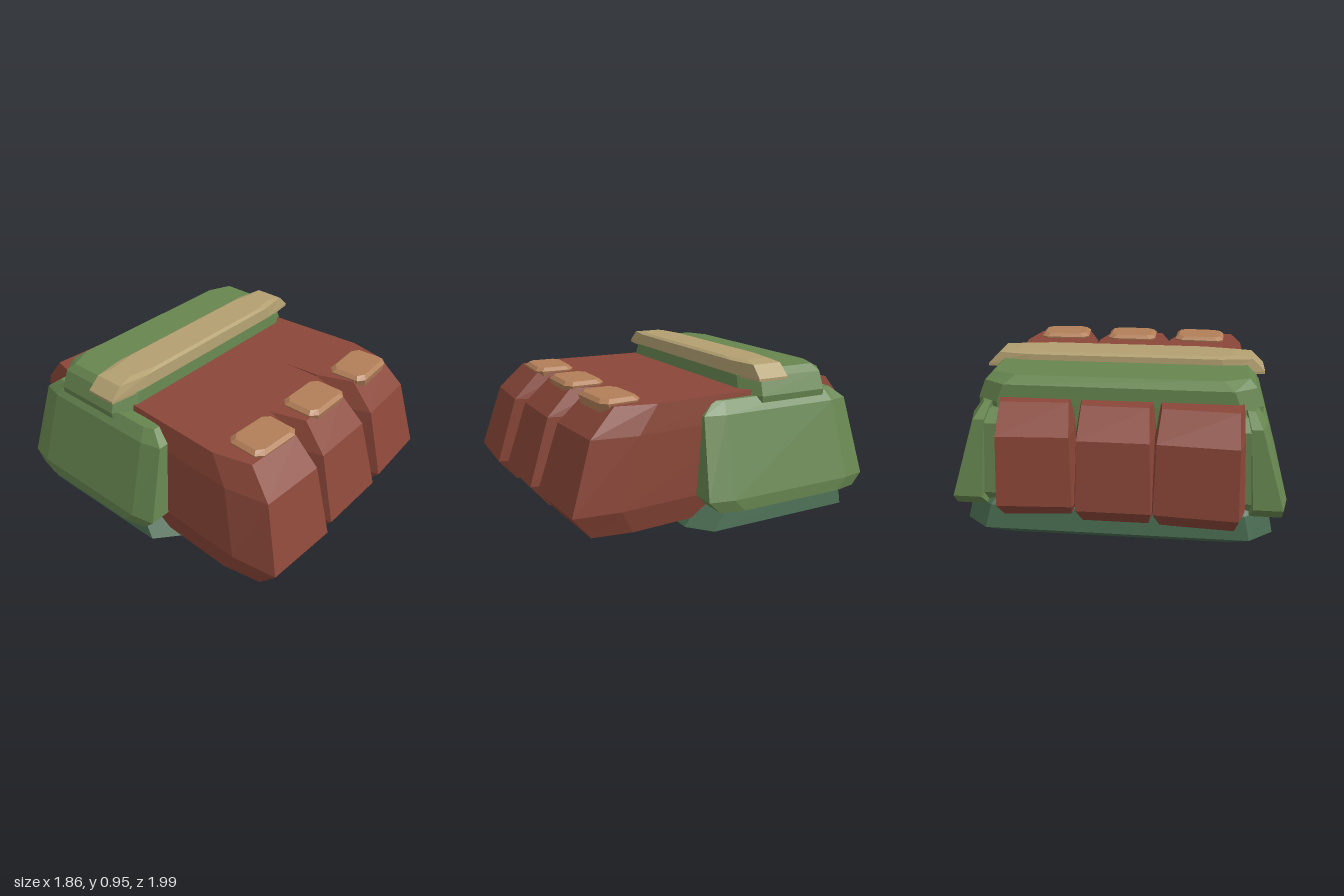
import * as THREE from 'three';

const material = (name, color) => {
  const m = new THREE.MeshStandardMaterial({ color });
  m.name = name;
  return m;
};

// Octagon outline in plan; c = [cut at low x, cut at high x, cut along z]
function oct(x0, x1, z0, z1, [a, b, cz]) {
  return [[x1, z1 - cz], [x1, z0 + cz], [x1 - b, z0], [x0 + a, z0],
    [x0, z0 + cz], [x0, z1 - cz], [x0 + a, z1], [x1 - b, z1]];
}

// Faceted solid through stacked outlines: levels are [y, outline]
function loft(levels) {
  const pos = [];
  const rings = levels.map(([y, pts]) => pts.map(([x, z]) => [x, y, z]));
  const tri = (a, b, c) => pos.push(...a, ...b, ...c);
  const n = rings[0].length;
  for (let k = 0; k < rings.length - 1; k++) {
    const lo = rings[k], hi = rings[k + 1];
    for (let i = 0; i < n; i++) {
      const j = (i + 1) % n;
      tri(lo[i], lo[j], hi[j]);
      tri(lo[i], hi[j], hi[i]);
    }
  }
  const bottom = rings[0], top = rings[rings.length - 1];
  for (let i = 1; i < n - 1; i++) {
    tri(top[0], top[i], top[i + 1]);
    tri(bottom[0], bottom[i + 1], bottom[i]);
  }
  const g = new THREE.BufferGeometry();
  g.setAttribute('position', new THREE.Float32BufferAttribute(pos, 3));
  g.computeVertexNormals();
  return g;
}

// Block pointing along +z; rows are [y, half width, front half width, front offset, cut depth]
function toeGeometry(rows, length, back, lean, widen = 1) {
  const y0 = rows[0][0], span = rows[rows.length - 1][0] - y0;
  return loft(rows.map(([y, h, f, dz, cz]) => {
    const s = lean * (y - y0) / span, z = length + dz;
    h *= widen;
    f *= widen;
    return [y, [[s + h, z - cz], [s + h, back], [s - h, back],
      [s - h, z - cz], [s - f, z], [s + f, z]]];
  }));
}

export function createModel() {
  const root = new THREE.Group();
  root.name = 'armouredFoot';
  const red = material('brick red', 0x8a4638);
  const green = material('leaf green', 0x66854f);
  const dark = material('dark green', 0x46684e);
  const tan = material('sand', 0xb3a071);
  const copper = material('copper', 0xb27f58);

  const add = (name, geometry, mat) => {
    const mesh = new THREE.Mesh(geometry, mat);
    mesh.name = name;
    root.add(mesh);
    return mesh;
  };

  // Sole
  add('sole', loft([
    [0, oct(-0.73, 0.73, -0.77, 0.16, [0.12, 0.12, 0.1])],
    [0.07, oct(-0.86, 0.86, -0.86, 0.25, [0.13, 0.13, 0.11])],
    [0.2, oct(-0.83, 0.83, -0.83, 0.14, [0.13, 0.13, 0.11])],
    [0.26, oct(-0.78, 0.78, -0.78, 0.1, [0.13, 0.13, 0.11])],
  ]), dark);

  // Ankle body
  const cut = [0.12, 0.12, 0.08];
  add('ankleBody', loft([
    [0.2, oct(-0.72, 0.72, -0.72, -0.13, cut)],
    [0.77, oct(-0.78, 0.78, -0.72, -0.13, cut)],
    [0.87, oct(-0.74, 0.74, -0.715, -0.14, cut)],
    [0.91, oct(-0.7, 0.7, -0.66, -0.2, [0.14, 0.14, 0.06])],
  ]), green);

  // Leaning side plates with an inner layer
  for (const s of [1, -1]) {
    const side = (inner, outer, z0, z1, ci, co, cz) => s > 0
      ? oct(inner, outer, z0, z1, [ci, co, cz])
      : oct(-outer, -inner, z0, z1, [co, ci, cz]);
    const label = s > 0 ? 'left' : 'right';
    add(label + 'SidePlate', loft([
      [0.19, side(0.7, 0.93, -0.8, 0.13, 0.02, 0.03, 0.14)],
      [0.26, side(0.72, 0.93, -0.86, 0.2, 0.02, 0.03, 0.14)],
      [0.7, side(0.69, 0.8, -0.81, 0.16, 0.02, 0.03, 0.12)],
      [0.77, side(0.68, 0.75, -0.72, 0.08, 0.01, 0.02, 0.06)],
    ]), green);
    add(label + 'PlateBacking', loft([
      [0.2, side(0.6, 0.8, -0.78, 0.1, 0.02, 0.02, 0.05)],
      [0.27, side(0.62, 0.8, -0.82, 0.16, 0.02, 0.02, 0.05)],
      [0.68, side(0.62, 0.76, -0.81, 0.13, 0.02, 0.02, 0.05)],
      [0.74, side(0.62, 0.74, -0.74, 0.06, 0.02, 0.02, 0.05)],
    ]), green);
  }

  // Front toes, splayed outward
  const toeRows = [
    [0.115, 0.24, 0.19, -0.12, 0.22],
    [0.26, 0.275, 0.225, 0, 0.26],
    [0.65, 0.26, 0.2, -0.12, 0.25],
    [0.8, 0.24, 0.175, -0.27, 0.22],
  ];
  const padGeometry = loft([
    [0.76, oct(-0.15, 0.15, -0.11, 0.11, [0.04, 0.04, 0.035])],
    [0.81, oct(-0.163, 0.163, -0.12, 0.12, [0.04, 0.04, 0.035])],
    [0.83, oct(-0.14, 0.14, -0.1, 0.1, [0.04, 0.04, 0.03])],
  ]);
  const toes = [
    // name, x, turn, length, lean, pad x
    ['right', -0.505, -0.05, 0.98, 0.07, -0.425],
    ['middle', -0.015, 0, 0.96, 0.035, 0.045],
    ['left', 0.472, 0.06, 0.935, 0.015, 0.515],
  ];
  for (const [name, x, turn, length, lean, padX] of toes) {
    const toe = add(name + 'Toe', toeGeometry(toeRows, length, -0.2, lean), red);
    toe.position.x = x;
    toe.rotation.y = turn;
    const pad = add(name + 'ToePad', padGeometry, copper);
    pad.position.set(padX, 0, 0.6);
    pad.rotation.y = turn;
  }

  // Heel blocks
  const heelRows = [
    [0.13, 0.2, 0.18, -0.13, 0.1],
    [0.26, 0.225, 0.2, 0, 0.12],
    [0.65, 0.21, 0.19, -0.035, 0.12],
    [0.8, 0.195, 0.18, -0.16, 0.1],
  ];
  const heels = [
    // name, x, turn, length, widen
    ['right', -0.5, -0.065, 0.985, 1.12],
    ['middle', 0, 0, 0.965, 1],
    ['left', 0.485, 0.06, 0.94, 1.02],
  ];
  for (const [name, x, turn, length, widen] of heels) {
    const heel = add(name + 'Heel', toeGeometry(heelRows, length, 0.4, 0, widen), red);
    heel.position.x = x;
    heel.rotation.y = Math.PI + turn;
  }

  // Bar across the instep
  add('instepBar', loft([
    [0.86, oct(-0.8, 0.8, -0.39, -0.14, [0.23, 0.23, 0.03])],
    [0.875, oct(-0.8, 0.8, -0.39, -0.14, [0.23, 0.23, 0.03])],
    [0.943, oct(-0.73, 0.73, -0.385, -0.145, [0.18, 0.18, 0.03])],
    [0.955, oct(-0.63, 0.63, -0.365, -0.165, [0.18, 0.18, 0.03])],
  ]), tan);

  return root;
}
